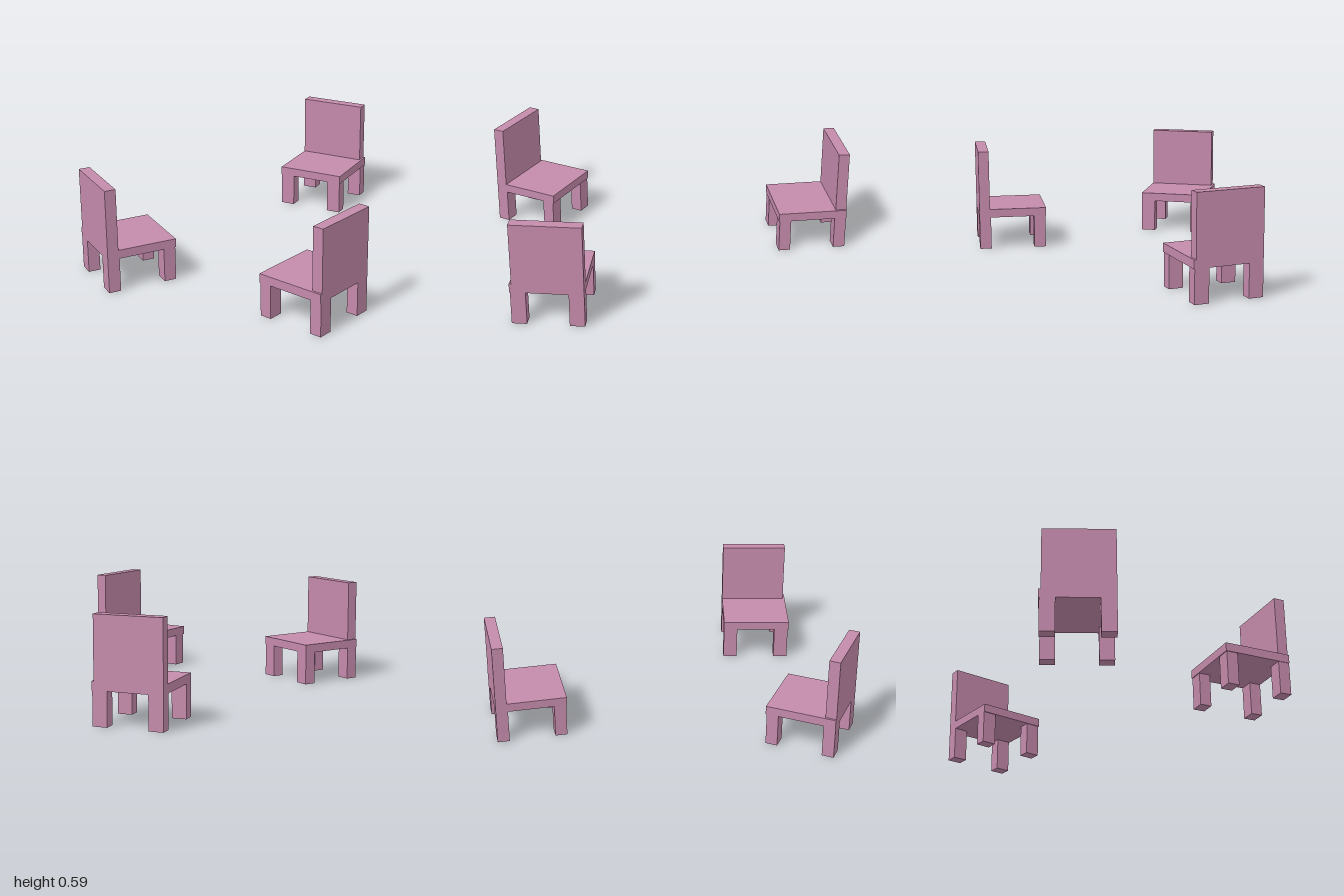
import * as THREE from 'three';

const mauve = new THREE.MeshStandardMaterial({ color: 0xc48aab });
mauve.name = 'mauve';

// Box given by its minimum and maximum corners
function block(name, min, max) {
  const size = max.map((v, i) => v - min[i]);
  const mesh = new THREE.Mesh(new THREE.BoxGeometry(...size), mauve);
  mesh.name = name;
  mesh.position.set(...max.map((v, i) => (v + min[i]) / 2));
  return mesh;
}

// One chair, facing +z, centred on its seat
function createChair(name) {
  const chair = new THREE.Group();
  chair.name = name;
  chair.add(block('seat', [-0.198, 0.189, -0.198], [0.198, 0.238, 0.198]));
  chair.add(block('backrest', [-0.198, 0.238, -0.198], [0.186, 0.586, -0.136]));

  // Four square legs, inset slightly at the left and front
  for (const [side, x] of [['Right', -0.198], ['Left', 0.112]]) {
    for (const [end, z] of [['front', 0.126], ['back', -0.198]]) {
      chair.add(block(end + side + 'Leg', [x, 0, z], [x + 0.082, 0.189, z + 0.067]));
    }
  }
  return chair;
}

export function createModel() {
  const model = new THREE.Group();
  model.name = 'threeChairs';

  // Placement of each chair: x, z, turn about y
  const places = [
    ['rearChair', -0.06, -0.8, 0],
    ['frontRightChair', -0.545, 0.721, 2.524],
    ['frontLeftChair', 0.58, 0.721, -1.793],
  ];
  for (const [name, x, z, turn] of places) {
    const chair = createChair(name);
    chair.position.set(x, 0, z);
    chair.rotation.y = turn;
    model.add(chair);
  }
  return model;
}
